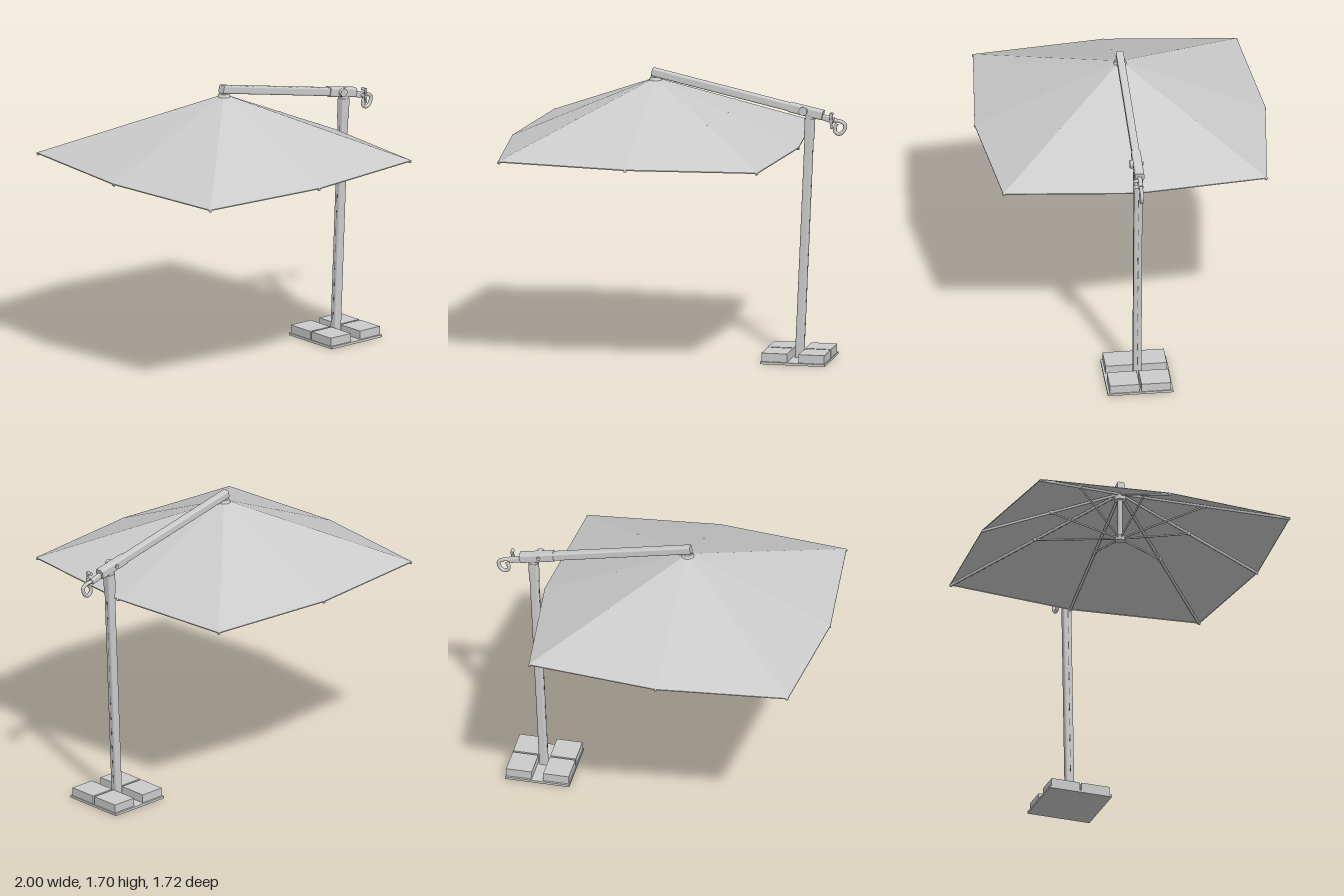
import * as THREE from 'three';

const CX = -0.14; // canopy axis
const V = (x, y, z) => new THREE.Vector3(x, y, z);

export function createModel() {
  const model = new THREE.Group();
  const grey = new THREE.MeshStandardMaterial({ color: 0xcccccc });
  const cloth = new THREE.MeshStandardMaterial({ color: 0xcccccc, flatShading: true, side: THREE.DoubleSide });

  function add(name, geometry, x = 0, y = 0, z = 0, parent = model, material = grey) {
    const mesh = new THREE.Mesh(geometry, material);
    mesh.name = name;
    mesh.position.set(x, y, z);
    parent.add(mesh);
    return mesh;
  }

  // Rounded rectangular bar from a to b: w across z, h in the xy plane
  function bar(name, a, b, w, h, r, parent = model) {
    const s = new THREE.Shape();
    const x = w / 2, y = h / 2;
    s.moveTo(-x + r, -y);
    s.lineTo(x - r, -y);
    s.absarc(x - r, -y + r, r, -Math.PI / 2, 0);
    s.absarc(x - r, y - r, r, 0, Math.PI / 2);
    s.absarc(-x + r, y - r, r, Math.PI / 2, Math.PI);
    s.absarc(-x + r, -y + r, r, Math.PI, Math.PI * 1.5);
    const g = new THREE.ExtrudeGeometry(s, { depth: a.distanceTo(b), bevelEnabled: false, curveSegments: 4 });
    const mesh = add(name, g, a.x, a.y, a.z, parent);
    mesh.lookAt(b);
    return mesh;
  }

  // Round pin along z
  function pin(name, x, y, z, r, length) {
    add(name, new THREE.CylinderGeometry(r, r, length, 20), x, y, z).rotation.x = Math.PI / 2;
  }

  // Base plate with four ballast slabs
  const base = new THREE.Group();
  base.name = 'base';
  base.position.set(0.718, 0, 0);
  model.add(base);
  add('basePlate', new THREE.BoxGeometry(0.385, 0.014, 0.385), 0, 0.007, 0, base);
  for (const sx of [-1, 1]) for (const sz of [-1, 1]) {
    add('ballastSlab', new THREE.BoxGeometry(0.153, 0.05, 0.174), sx * 0.111, 0.039, sz * 0.093, base);
  }

  // Leaning mast with its collar, and a slot down the inner and outer faces
  const foot = V(0.72, 0.012, 0), head = V(0.783, 1.46, 0);
  const onMast = t => foot.clone().lerp(head, t);
  bar('mast', foot, head, 0.05, 0.05, 0.012);
  bar('mastCollar', onMast(0.9), onMast(0.985), 0.055, 0.056, 0.012);
  const slot = new THREE.MeshStandardMaterial({ color: 0x555555 });
  for (let i = 0; i < 12; i++) {
    const p = onMast(0.08 + i * 0.07);
    add('mastSlot', new THREE.BoxGeometry(0.0515, 0.05, 0.004), p.x, p.y, 0, model, slot).rotation.z = -0.043;
  }

  // Boom, pivot sleeve and tail
  bar('boom', V(-0.16, 1.676, 0), V(0.72, 1.488, 0), 0.045, 0.048, 0.01);
  bar('pivotSleeve', V(0.66, 1.501, 0), V(0.86, 1.46, 0), 0.055, 0.056, 0.012);
  bar('boomTail', V(0.85, 1.45, 0), V(0.925, 1.43, 0), 0.028, 0.034, 0.008);
  pin('pivotKnob', 0.748, 1.485, 0.034, 0.025, 0.022);
  pin('pivotBolt', 0.748, 1.485, 0.005, 0.012, 0.08);

  // Crank lever on the tail
  pin('crankShaft', 0.915, 1.432, 0.02, 0.011, 0.05);
  bar('crankLever', V(0.918, 1.39, 0.04), V(0.915, 1.48, 0.04), 0.012, 0.016, 0.004);
  pin('crankGrip', 0.915, 1.472, 0.028, 0.01, 0.035);

  // Pull handle loop
  const loop = new THREE.CatmullRomCurve3([
    V(0.905, 1.432, 0), V(0.96, 1.428, 0), V(0.99, 1.41, 0), V(0.984, 1.372, 0),
    V(0.958, 1.352, 0), V(0.934, 1.362, 0), V(0.932, 1.392, 0), V(0.945, 1.415, 0)]);
  add('pullHandle', new THREE.TubeGeometry(loop, 40, 0.011, 10));

  // Eight canopy tips: corners and slightly bowed side midpoints
  const tips = [];
  for (let i = 0; i < 8; i++) {
    const a = i * Math.PI / 4, r = i % 2 ? 0.775 * Math.SQRT2 : 0.855;
    tips.push(V(Math.cos(a) * r, 1.262, Math.sin(a) * r));
  }
  const canopy = new THREE.Group();
  canopy.name = 'canopy';
  canopy.position.x = CX;
  model.add(canopy);

  // Fabric panels with a narrow hem
  const apex = V(0, 1.642, 0), pts = [];
  const drop = p => p.clone().setY(p.y - 0.006);
  tips.forEach((p, i) => {
    const q = tips[(i + 1) % 8];
    pts.push(apex, q, p, p, q, drop(q), p, drop(q), drop(p));
  });
  const fabric = new THREE.BufferGeometry().setFromPoints(pts);
  fabric.computeVertexNormals();
  add('fabric', fabric, 0, 0, 0, canopy, cloth);

  // Central post, hubs and top cap
  add('centrePost', new THREE.CylinderGeometry(0.014, 0.014, 0.32, 16), 0, 1.49, 0, canopy);
  add('upperHub', new THREE.CylinderGeometry(0.035, 0.035, 0.03, 20), 0, 1.6, 0, canopy);
  add('lowerHub', new THREE.CylinderGeometry(0.03, 0.03, 0.03, 20), 0, 1.34, 0, canopy);
  add('topCap', new THREE.CylinderGeometry(0.03, 0.038, 0.018, 24), 0, 1.637, 0, canopy);
  add('hanger', new THREE.CylinderGeometry(0.015, 0.015, 0.04, 16), 0, 1.655, 0, canopy);

  // Ribs, struts and rib end caps (tubes along straight lines)
  const rod = (name, a, b, r) => add(name, new THREE.TubeGeometry(new THREE.LineCurve3(a, b), 1, r, 8), 0, 0, 0, canopy);
  for (const tip of tips) {
    const top = V(0, 1.628, 0), end = tip.clone().setY(1.253);
    const joint = top.clone().lerp(end, 0.5);
    rod('rib', top, end, 0.008);
    rod('strut', V(0, 1.34, 0), joint, 0.006);
    add('strutJoint', new THREE.SphereGeometry(0.013, 10, 8), joint.x, joint.y, joint.z, canopy);
    add('ribEndCap', new THREE.SphereGeometry(0.01, 10, 8), end.x * 0.993, end.y + 0.002, end.z * 0.993, canopy);
  }
  return model;
}
